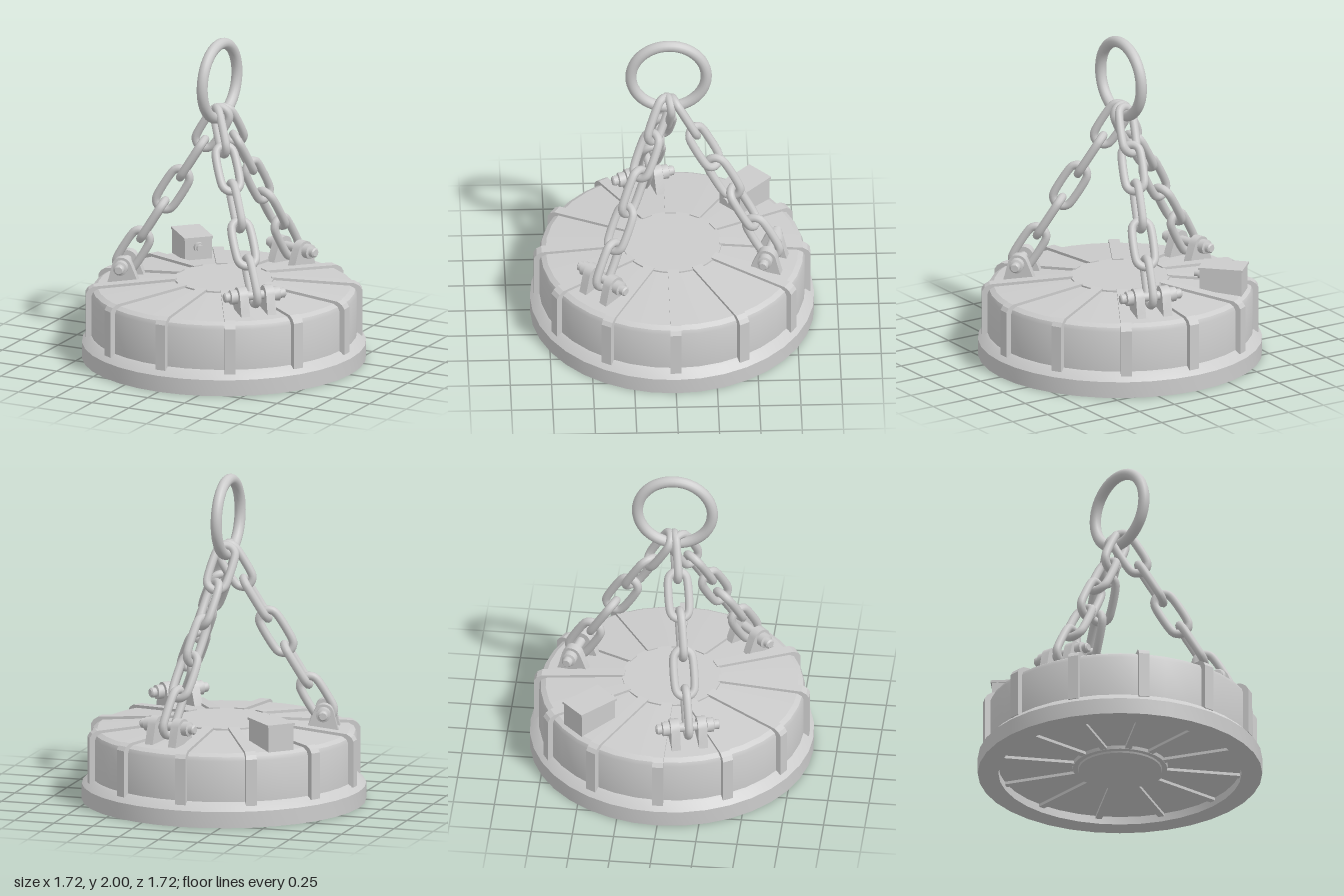
import * as THREE from 'three';
import { toCreasedNormals } from 'three/addons/utils/BufferGeometryUtils.js';

const material = new THREE.MeshStandardMaterial({ color: 0xcccccc });
const V3 = (x, y, z) => new THREE.Vector3(x, y, z);

function add(parent, name, geometry, x = 0, y = 0, z = 0) {
  const mesh = new THREE.Mesh(geometry, material);
  mesh.name = name;
  mesh.position.set(x, y, z);
  parent.add(mesh);
  return mesh;
}

function lathe(points, segments) {
  const geo = new THREE.LatheGeometry(points.map(([r, y]) => new THREE.Vector2(r, y)), segments);
  return toCreasedNormals(geo, 0.45);
}

// Group whose local +x points outward at the given angle (from +x towards +z)
function spoke(parent, name, degrees) {
  const group = new THREE.Group();
  group.name = name;
  group.rotation.y = -THREE.MathUtils.degToRad(degrees);
  parent.add(group);
  return group;
}

// Profile in (radius, height), extruded to a slab centred on z = 0
function slab(points, depth) {
  const shape = new THREE.Shape(points.map(([x, y]) => new THREE.Vector2(x, y)));
  return new THREE.ExtrudeGeometry(shape, { depth, bevelEnabled: false }).translate(0, 0, -depth / 2);
}

// Oval chain link, long axis along y, lying in the xy plane
const WIRE = 0.026, LINK_WIDTH = 0.17;
function linkGeometry(length) {
  const r = LINK_WIDTH / 2 - WIRE, h = length / 2 - WIRE - r, pts = [];
  for (const side of [1, -1]) {
    for (let i = 0; i <= 6; i++) {
      const t = (i / 6) * Math.PI;
      pts.push(V3(side * r * Math.cos(t), side * (h + r * Math.sin(t)), 0));
    }
  }
  return new THREE.TubeGeometry(new THREE.CatmullRomCurve3(pts, true), 44, WIRE, 10, true);
}

// Chain of five links from a lug pin up to the lifting ring
function buildChain(parent, degrees, start, end, twists) {
  const a = THREE.MathUtils.degToRad(degrees), n = twists.length;
  const dir = end.clone().sub(start).normalize();
  const from = start.clone().addScaledVector(dir, -0.028);
  const to = end.clone().addScaledVector(dir, 0.034);
  const pitch = from.distanceTo(to) / n;
  const geometry = linkGeometry(pitch + 4 * WIRE);
  const x = dir.clone().cross(V3(-Math.sin(a), 0, Math.cos(a))).normalize();
  const basis = new THREE.Matrix4().makeBasis(x, dir, x.clone().cross(dir));
  const chain = new THREE.Group();
  chain.name = 'chain';
  parent.add(chain);
  twists.forEach((twist, i) => {
    const link = add(chain, 'chainLink', geometry);
    link.position.lerpVectors(from, to, (i + 0.5) / n);
    link.quaternion.setFromRotationMatrix(basis);
    link.rotateY(THREE.MathUtils.degToRad(twist));
  });
}

export function createModel() {
  const model = new THREE.Group();
  model.name = 'liftingMagnet';

  // Round housing with flared foot, sloping lid and recessed underside
  add(model, 'housing', lathe([
    [0, 0.02], [0.25, 0.02], [0.255, 0.03], [0.285, 0.03], [0.29, 0.05], [0.735, 0.05], [0.735, 0],
    [0.86, 0], [0.86, 0.1], [0.82, 0.14], [0.805, 0.15], [0.805, 0.4], [0.795, 0.425],
    [0.765, 0.443], [0.3, 0.485], [0.3, 0.495], [0, 0.495],
  ], 36));

  // Twelve ribs over the lid and wall, with matching bars underneath
  const ribGeo = slab([
    [0.285, 0.47], [0.7, 0.42], [0.77, 0.36], [0.78, 0.13], [0.836, 0.13],
    [0.836, 0.415], [0.82, 0.44], [0.79, 0.458], [0.285, 0.502],
  ], 0.066);
  const barGeo = new THREE.BoxGeometry(0.47, 0.03, 0.04);
  for (let i = 0; i < 12; i++) {
    const rib = spoke(model, 'ribSpoke', i * 30);
    add(rib, 'rib', ribGeo);
    add(rib, 'undersideBar', barGeo, 0.505, 0.047, 0);
  }

  // Lifting ring
  const ringCentre = V3(-0.02, 1.738, 0.02);
  const ring = add(model, 'liftingRing', new THREE.TorusGeometry(0.228, 0.034, 14, 48));
  ring.position.copy(ringCentre);
  ring.rotation.y = Math.PI / 2;

  // Lug plate with a rounded head
  const PIN_R = 0.61, PIN_Y = 0.555;
  const outline = [[0.5, 0.43], [0.705, 0.43], [0.69, 0.48]];
  for (let i = 0; i <= 8; i++) {
    const t = THREE.MathUtils.degToRad(15 + (i / 8) * 150);
    outline.push([PIN_R + 0.06 * Math.cos(t), PIN_Y + 0.058 * Math.sin(t)]);
  }
  outline.push([0.515, 0.48]);
  const lugGeo = toCreasedNormals(slab(outline, 0.055), 0.5);

  // Pin turned from one profile: tip, collar, shaft, collar, tip
  const half = [[0.028, 0.11], [0.044, 0.115], [0.044, 0.155], [0.03, 0.16], [0.03, 0.187], [0.022, 0.195], [0, 0.195]];
  const pinGeo = lathe([...half.map(([r, y]) => [r, -y]).reverse(), ...half], 16).rotateX(Math.PI / 2);

  // Three lugs, each carrying a chain up to the ring
  const arms = [
    { degrees: 45, z: 0.05, twists: [0, 90, 0, 90, 0] },
    { degrees: 165, z: 0.02, twists: [0, 90, 0, 90, 0] },
    { degrees: 285, z: -0.035, twists: [0, 85, 0, 60, 120] },
  ];
  for (const { degrees, z, twists } of arms) {
    const lug = spoke(model, 'lug', degrees);
    for (const side of [-1, 1]) add(lug, 'lugPlate', lugGeo, 0, 0, side * 0.083);
    add(lug, 'lugPin', pinGeo, PIN_R, PIN_Y, 0);
    const a = THREE.MathUtils.degToRad(degrees);
    const start = V3(PIN_R * Math.cos(a), PIN_Y, PIN_R * Math.sin(a));
    buildChain(model, degrees, start, V3(ringCentre.x, 1.512, z), twists);
  }

  // Terminal box with lid and cable gland facing the centre
  const box = spoke(model, 'terminalBox', 225);
  add(box, 'boxBody', new THREE.BoxGeometry(0.26, 0.155, 0.17), 0.64, 0.5175, 0);
  add(box, 'boxLid', new THREE.BoxGeometry(0.275, 0.015, 0.182), 0.64, 0.6, 0);
  const glandGeo = new THREE.CylinderGeometry(0.032, 0.032, 0.03, 12).rotateZ(Math.PI / 2);
  add(box, 'cableGland', glandGeo, 0.5, 0.545, 0);
  const tipGeo = new THREE.CylinderGeometry(0.022, 0.022, 0.03, 12).rotateZ(Math.PI / 2);
  add(box, 'cableGlandTip', tipGeo, 0.477, 0.545, 0);

  return model;
}
